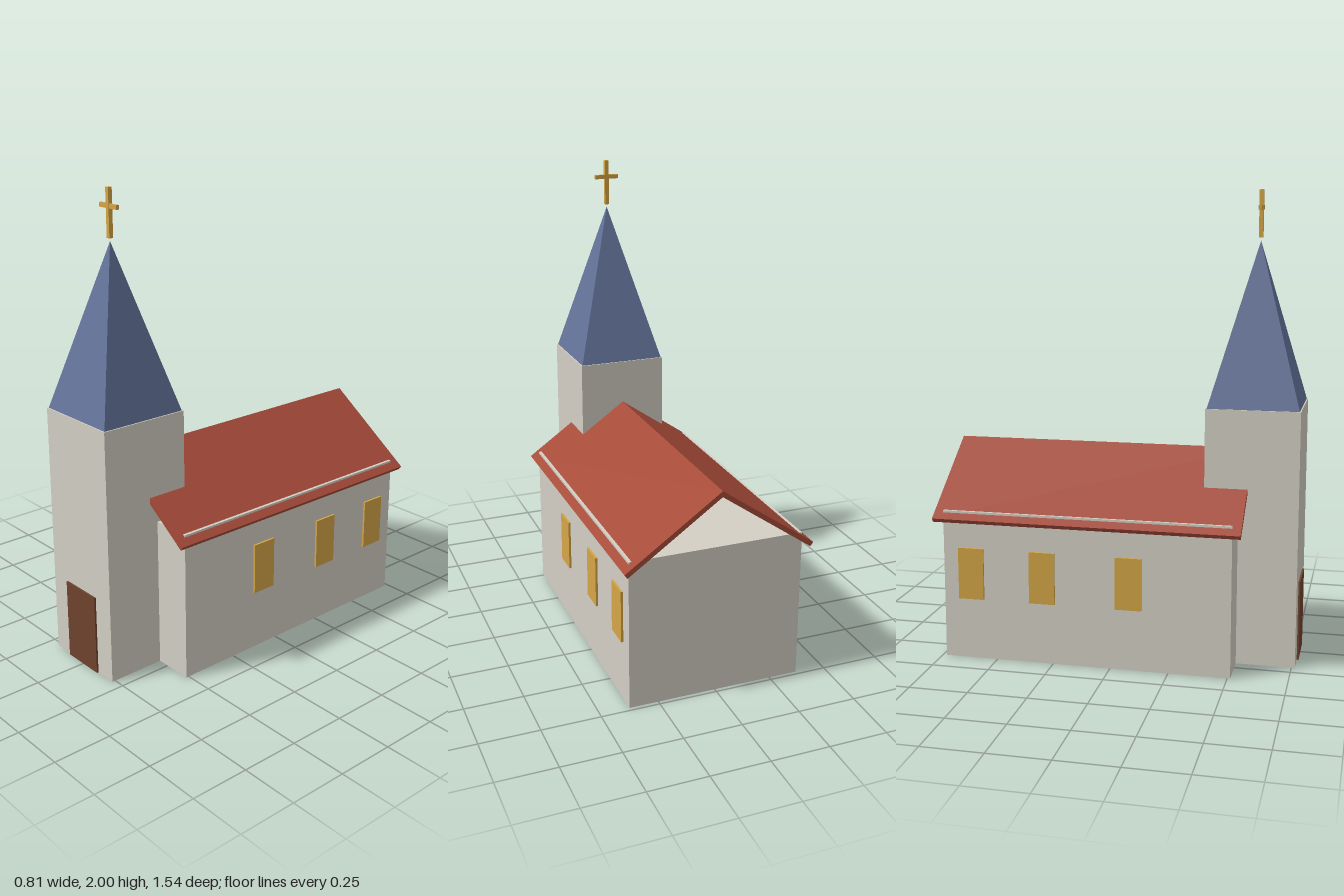
import * as THREE from 'three';

const mat = (name, color, flatShading = false) => {
  const m = new THREE.MeshStandardMaterial({ color, flatShading });
  m.name = name;
  return m;
};

export function createModel() {
  const church = new THREE.Group();
  church.name = 'church';

  const plaster = mat('plaster', 0xd3cfc5);
  const tile = mat('roofTile', 0xa54a38);
  const slate = mat('slate', 0x64739a, true);
  const gold = mat('gold', 0xd4a546);
  const wood = mat('wood', 0x6f432e);

  const add = (name, geometry, material, x = 0, y = 0, z = 0) => {
    const mesh = new THREE.Mesh(geometry, material);
    mesh.name = name;
    mesh.position.set(x, y, z);
    church.add(mesh);
    return mesh;
  };
  const box = (name, material, w, h, d, x, y, z) =>
    add(name, new THREE.BoxGeometry(w, h, d), material, x, y, z);

  // Nave: flat-topped block under an open gable roof
  box('nave', plaster, 0.75, 0.65, 1.245, 0, 0.325, -0.11);

  // Two sloping roof slabs joined at the ridge
  const profile = new THREE.Shape([
    [0, 0.905], [-0.406, 0.619], [-0.394, 0.602],
    [0, 0.88], [0.394, 0.602], [0.406, 0.619],
  ].map(([x, y]) => new THREE.Vector2(x, y)));
  add('roof', new THREE.ExtrudeGeometry(profile, { depth: 1.322, bevelEnabled: false }),
    tile, 0, 0, -0.772);

  // Tower, spire and cross share one axis
  const tz = 0.566;
  box('tower', plaster, 0.397, 1.1, 0.397, 0, 0.55, tz);
  add('spire', new THREE.ConeGeometry(0.193 * Math.SQRT2, 0.69, 4, 1, false, Math.PI / 4),
    slate, 0, 1.445, tz);
  box('crossPost', gold, 0.018, 0.198, 0.018, 0, 1.901, tz);
  box('crossArm', gold, 0.11, 0.018, 0.014, 0, 1.927, tz);

  // Door on the tower front
  box('door', wood, 0.2, 0.35, 0.009, 0, 0.175, 0.768);

  // Three windows on each long wall
  for (const side of [-1, 1])
    for (const z of [0.08, -0.295, -0.61])
      box(side > 0 ? 'leftWindow' : 'rightWindow', gold, 0.0099, 0.225, 0.112, side * 0.3795, 0.378, z);

  return church;
}
